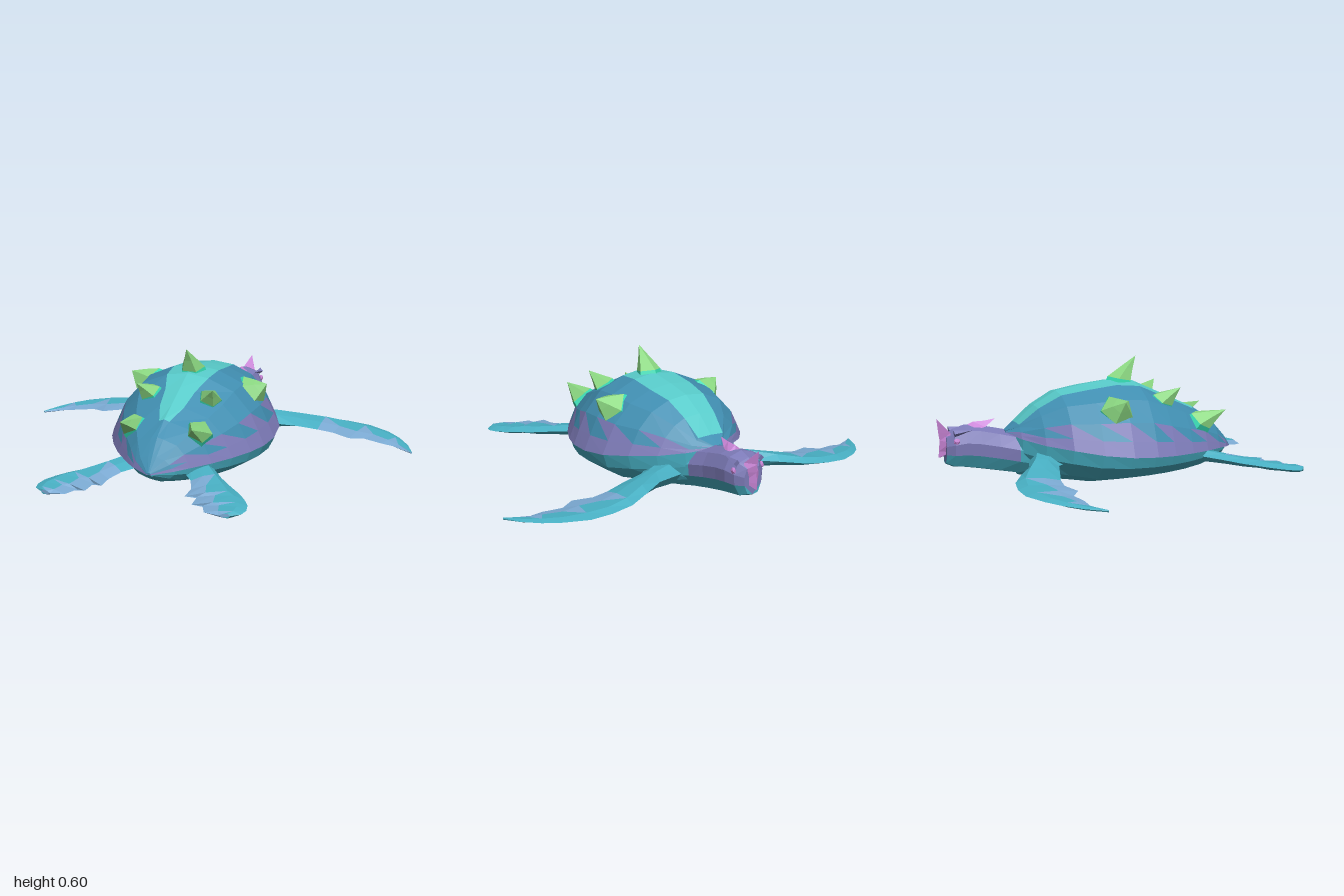
import * as THREE from 'three';

const mat = (name, color, side = THREE.FrontSide) => {
  const m = new THREE.MeshStandardMaterial({ color, flatShading: true, side });
  m.name = name;
  return m;
};

// Closed faceted loft through rings of [x, y, z]; pick(row, segment, tri) returns a material index
function loft(name, rings, materials, pick = () => 0) {
  const buckets = materials.map(() => []);
  const n = rings[0].length;
  let volume = 0;
  const v = (p) => new THREE.Vector3(...p);
  const tri = (k, a, b, c) => {
    const A = v(a), B = v(b), C = v(c);
    if (B.clone().sub(A).cross(C.clone().sub(A)).length() < 1e-7) return;
    volume += A.dot(B.clone().cross(C));
    buckets[k].push([a, b, c]);
  };
  for (let i = 0; i < rings.length - 1; i++) {
    for (let j = 0; j < n; j++) {
      const a = rings[i][j], b = rings[i][(j + 1) % n];
      const c = rings[i + 1][(j + 1) % n], d = rings[i + 1][j];
      tri(pick(i, j, 0), a, b, c);
      tri(pick(i, j, 1), a, c, d);
    }
  }
  const last = rings[rings.length - 1];
  for (let j = 1; j < n - 1; j++) {
    tri(pick(0, j, 0), rings[0][0], rings[0][j + 1], rings[0][j]);
    tri(pick(rings.length - 2, j, 0), last[0], last[j], last[j + 1]);
  }
  const geo = new THREE.BufferGeometry();
  const pos = [];
  buckets.forEach((list, k) => {
    geo.addGroup(pos.length / 3, list.length * 3, k);
    for (const [a, b, c] of list) pos.push(...a, ...(volume > 0 ? b : c), ...(volume > 0 ? c : b));
  });
  geo.setAttribute('position', new THREE.Float32BufferAttribute(pos, 3));
  geo.computeVertexNormals();
  const mesh = new THREE.Mesh(geo, materials);
  mesh.name = name;
  return mesh;
}

// Mirrors a half section, given from one centre point to the other, into a full ring
const mirrorRing = (half) => [...half, ...half.slice(1, -1).reverse().map(([x, y, z]) => [-x, y, z])];

export function createModel() {
  const turtle = new THREE.Group();
  turtle.name = 'seaTurtle';
  const shellBlue = mat('shellBlue', 0x418fb2);
  const stripeTeal = mat('stripeTeal', 0x58cbca);
  const skinTeal = mat('skinTeal', 0x48b0c4);
  const finBlue = mat('finBlue', 0x7cabd4);
  const purple = mat('purple', 0x7d7bb8);
  const green = mat('spikeGreen', 0x8cd982);
  const collar = mat('spikeCollar', 0x35dcb4);
  const pink = mat('hornPink', 0xcb86d8);

  // Body stations: z, half width, rim height, ridge height, stripe half width, belly height
  const body = [
    [-0.525, 0.03, 0.265, 0.275, 0.02, 0.13], [-0.47, 0.13, 0.245, 0.31, 0.07, 0.055],
    [-0.38, 0.235, 0.225, 0.39, 0.085, 0.035], [-0.27, 0.325, 0.21, 0.455, 0.1, 0.022],
    [-0.14, 0.385, 0.19, 0.48, 0.115, 0.006], [0, 0.4, 0.175, 0.5, 0.115, 0.012],
    [0.12, 0.388, 0.17, 0.49, 0.105, 0.018], [0.22, 0.355, 0.167, 0.445, 0.075, 0.025],
    [0.33, 0.3, 0.165, 0.395, 0.06, 0.035], [0.43, 0.235, 0.163, 0.35, 0.025, 0.05],
    [0.52, 0.16, 0.16, 0.29, 0.03, 0.075], [0.58, 0.1, 0.155, 0.22, 0.02, 0.1],
    [0.63, 0.012, 0.145, 0.155, 0.004, 0.135],
  ];

  // Domed shell with purple rim and pale ridge stripe
  const shell = new THREE.Group();
  shell.name = 'shell';
  shell.position.x = -0.012;
  turtle.add(shell);
  const dome = [[1, 0], [0.92, 0.22], [0.82, 0.48], [0.6, 0.78], [0, 0.95], [0, 1]];
  const shellRings = body.map(([z, w, rim, top, stripe]) => mirrorRing([
    [0, rim, z],
    ...dome.map(([px, py], k) => [k === 4 ? stripe : w * px, rim + (top - rim) * py, z]),
  ]));
  shell.add(loft('shellDome', shellRings, [shellBlue, stripeTeal, purple], (i, j, t) => {
    const k = j < 6 ? j : 11 - j;
    if (k <= 1) return 2;
    if (k === 2 && i % 2 === (j < 6 ? t : 1 - t)) return 2;
    return k === 5 && i > 0 && i < 9 ? 1 : 0;
  }));

  // Keeled belly under the shell
  const keel = [[0, 0], [0.35, 0.1], [0.68, 0.28], [0.9, 0.62], [0.96, 1]];
  turtle.add(loft('belly', body.map(([z, w, rim, , , low]) => mirrorRing([
    ...keel.map(([px, py]) => [w * px, low + (rim + 0.005 - low) * py, z * 0.98]),
    [0, rim + 0.005, z * 0.98],
  ])), [skinTeal]));

  // Curved shell spikes
  const spike = (base, normal, tip, r) => {
    const b = new THREE.Vector3(...base), t = new THREE.Vector3(...tip);
    const n = new THREE.Vector3(...normal).normalize();
    const q = new THREE.Quaternion().setFromUnitVectors(new THREE.Vector3(0, 1, 0), n);
    const ring = (centre, radius) => Array.from({ length: 5 }, (_, k) => {
      const a = (k / 5) * Math.PI * 2 - Math.PI / 2;
      return new THREE.Vector3(Math.cos(a) * radius, 0, Math.sin(a) * radius)
        .applyQuaternion(q).add(centre).toArray();
    });
    const middle = b.clone().lerp(t, 0.45).addScaledVector(n, r * 0.12);
    shell.add(loft('spike', [
      ring(b.clone().addScaledVector(n, -0.02), r * 1.12),
      ring(b.clone().addScaledVector(n, 0.008), r),
      ring(middle, r * 0.52), ring(t, 0.0005),
    ], [green, collar], (i) => (i === 0 ? 1 : 0)));
  };
  spike([0, 0.495, 0.05], [0, 1, 0.2], [0, 0.61, 0.135], 0.06);
  for (const s of [1, -1]) {
    spike([s * 0.265, 0.38, -0.045], [s * 0.75, 0.65, 0], [s * 0.35, 0.43, -0.03], 0.082);
    spike([s * 0.15, 0.405, 0.22], [s * 0.35, 0.8, 0.4], [s * 0.19, 0.47, 0.3], 0.055);
    spike([s * 0.165, 0.3, 0.41], [s * 0.4, 0.7, 0.5], [s * 0.175, 0.35, 0.54], 0.062);
  }

  // Neck and head: z, half width, bottom, top
  const headShape = [[0, 0], [0.6, 0.05], [0.95, 0.34], [1, 0.62], [0.7, 0.9], [0, 1]];
  const headRings = [
    [-0.36, 0.17, 0.05, 0.25], [-0.47, 0.115, 0.065, 0.265], [-0.56, 0.098, 0.08, 0.285],
    [-0.65, 0.093, 0.095, 0.303], [-0.72, 0.093, 0.105, 0.308], [-0.775, 0.08, 0.11, 0.29],
    [-0.81, 0.048, 0.125, 0.265],
  ].map(([z, w, low, top]) => mirrorRing(headShape.map(([px, py]) => [w * px, low + (top - low) * py, z])));
  turtle.add(loft('head', headRings, [skinTeal, purple], (i, j) => (i > 0 && j > 1 && j < 8 ? 1 : 0)));

  // Hooked beak rising to a nose horn: height, half width, back z, front z
  turtle.add(loft('beak', [
    [0.155, 0.003, -0.835, -0.842], [0.185, 0.036, -0.79, -0.84], [0.235, 0.052, -0.79, -0.836],
    [0.275, 0.034, -0.79, -0.842], [0.337, 0.001, -0.847, -0.85],
  ].map(([y, w, zb, zf]) => [[w, y, zb], [0, y, zf], [-w, y, zb]]), [pink]));

  // Swept crown horn: z, half width, bottom, top
  turtle.add(loft('crownHorn', [
    [-0.7, 0.012, 0.29, 0.308], [-0.675, 0.042, 0.285, 0.32], [-0.62, 0.022, 0.295, 0.322],
    [-0.57, 0.001, 0.329, 0.331],
  ].map(([z, w, low, top]) => [[w, low, z], [0, top, z], [-w, low, z]]), [pink]));

  // Flippers: leading x, z, trailing x, z, height, thickness
  const frontFin = [
    [0.1, -0.43, 0.18, -0.24, 0.135, 0.11], [0.27, -0.47, 0.28, -0.33, 0.135, 0.08],
    [0.38, -0.535, 0.4, -0.36, 0.125, 0.055], [0.5, -0.595, 0.5, -0.385, 0.11, 0.04],
    [0.61, -0.612, 0.58, -0.39, 0.1, 0.03], [0.72, -0.605, 0.67, -0.355, 0.092, 0.026],
    [0.83, -0.55, 0.74, -0.395, 0.085, 0.022], [0.9, -0.49, 0.83, -0.372, 0.078, 0.02],
    [0.96, -0.41, 0.89, -0.37, 0.071, 0.016], [1, -0.32, 0.99, -0.317, 0.065, 0.01],
  ];
  const rearFin = [
    [0.2, 0.38, 0.07, 0.45, 0.135, 0.06], [0.29, 0.49, 0.17, 0.57, 0.12, 0.045],
    [0.36, 0.56, 0.2, 0.65, 0.11, 0.04], [0.42, 0.62, 0.2, 0.73, 0.105, 0.036],
    [0.46, 0.67, 0.25, 0.705, 0.1, 0.034], [0.49, 0.72, 0.255, 0.79, 0.095, 0.032],
    [0.5, 0.77, 0.3, 0.775, 0.09, 0.03], [0.49, 0.81, 0.33, 0.84, 0.087, 0.028],
    [0.45, 0.84, 0.4, 0.85, 0.085, 0.022],
  ];
  const section = [[0, 0], [0.22, 0.5], [0.62, 0.4], [1, 0], [0.62, -0.4], [0.22, -0.5]];
  const flipper = (name, stations, s, from) => turtle.add(loft(name,
    stations.map(([lx, lz, tx, tz, y, th]) => section.map(([f, h]) => [
      s * (lx + (tx - lx) * f), y + h * th, lz + (tz - lz) * f,
    ])), [skinTeal, finBlue], (i, j, t) => {
      if (i < from) return 0;
      if (j === 2 || j === 3) return 1;
      return j === 1 && i % 2 === 1 && t === 0 ? 1 : 0;
    }));

  for (const [side, s] of [['left', 1], ['right', -1]]) {
    flipper(side + 'FrontFlipper', frontFin, s, 3);
    flipper(side + 'RearFlipper', rearFin, s, 1);

    // Eye and brow
    const eye = new THREE.Mesh(new THREE.IcosahedronGeometry(0.017, 0), pink);
    eye.name = side + 'Eye';
    eye.position.set(s * 0.078, 0.24, -0.768);
    eye.scale.x = 0.6;
    turtle.add(eye);
    const brow = new THREE.Mesh(new THREE.ConeGeometry(0.016, 0.09, 4), purple);
    brow.name = side + 'Brow';
    brow.position.set(s * 0.068, 0.282, -0.735);
    brow.rotation.x = Math.PI / 2 - 0.15;
    turtle.add(brow);
  }
  return turtle;
}
